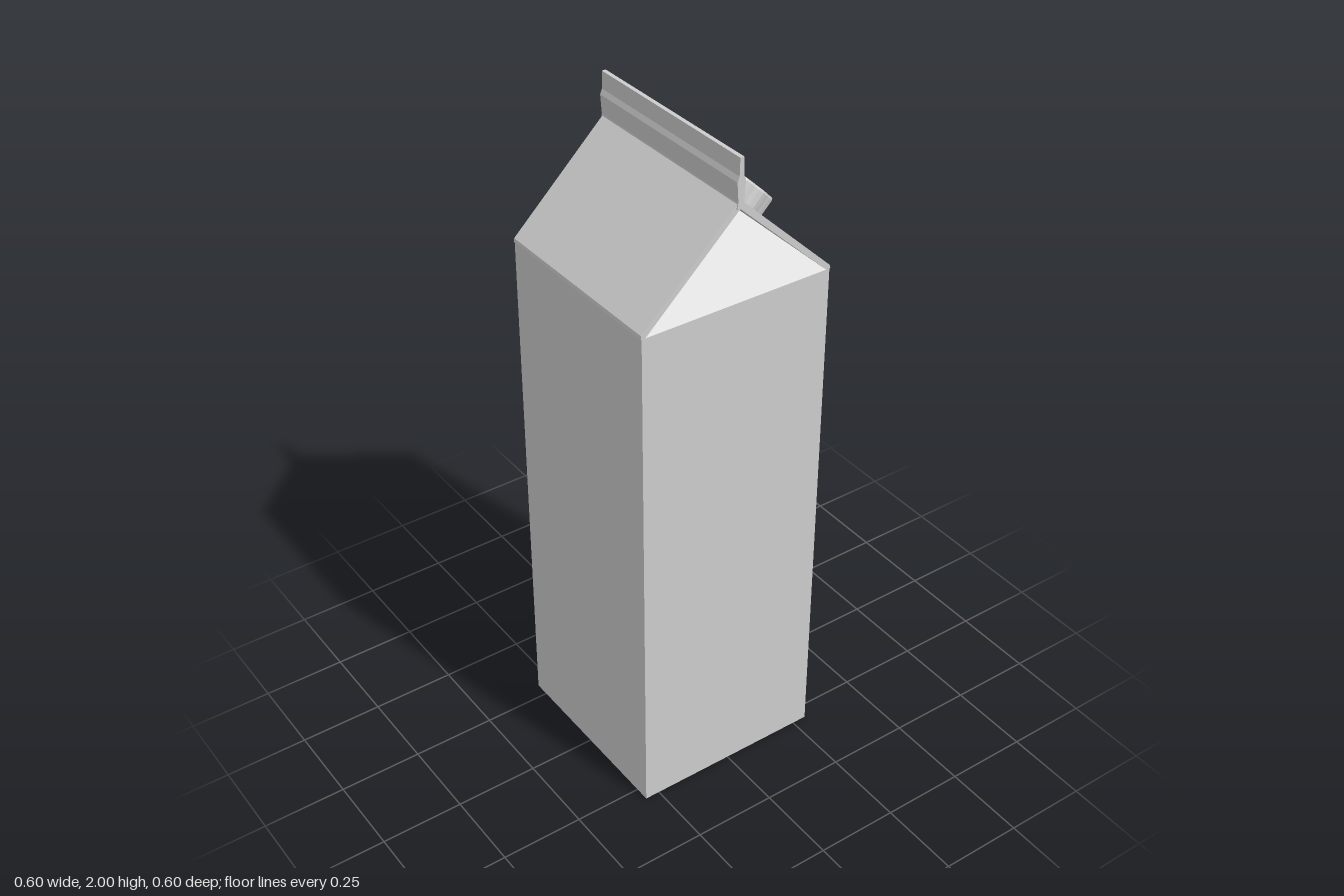
import * as THREE from 'three';

const HALF = 0.295;    // half width of the carton
const EAVE = 1.59;     // height where the roof starts

export function createModel() {
  const group = new THREE.Group();
  const board = new THREE.MeshStandardMaterial({ color: 0xcccccc });
  board.name = 'plain grey board';

  const add = (name, geometry, parent = group) => {
    const mesh = new THREE.Mesh(geometry, board);
    mesh.name = name;
    parent.add(mesh);
    return mesh;
  };

  // Extrudes an x-y outline over the full depth of the carton
  const extrudeZ = (points, half = HALF) => {
    const shape = new THREE.Shape(points.map(([x, y]) => new THREE.Vector2(x, y)));
    return new THREE.ExtrudeGeometry(shape, { depth: 2 * half, bevelEnabled: false }).translate(0, 0, -half);
  };

  // Tall square body
  add('body', new THREE.BoxGeometry(2 * HALF, EAVE, 2 * HALF).translate(0, EAVE / 2, 0));

  // Folded-in gables: a square pyramid whose front and back lie under the roof panels
  const gables = new THREE.ConeGeometry(HALF * Math.SQRT2, 0.27, 4, 1, true)
    .rotateY(Math.PI / 4).toNonIndexed();
  gables.computeVertexNormals();
  add('foldedGables', gables.translate(0, EAVE + 0.135, 0));

  // Two sloping roof panels, overhanging the folded gables
  const panel = [[0.284, EAVE], [0.298, EAVE], [0.296, 1.6], [0.006, 1.878], [0, 1.872], [0, 1.858]];
  add('leftRoofPanel', extrudeZ(panel));
  add('rightRoofPanel', extrudeZ(panel.map(([x, y]) => [-x, y]).reverse()));

  // Sealed crest along the ridge, thicker at the bottom
  const side = [[0.012, 1.86], [0.009, 1.88], [0.013, 1.935], [0.007, 1.95], [0.006, 2]];
  const crest = [...side, ...side.map(([x, y]) => [-x, y]).reverse()];
  add('crest', extrudeZ(crest, 0.298));

  // Screw cap on the left roof panel, with a gently scalloped rim
  const capGroup = new THREE.Group();
  capGroup.name = 'screwCap';
  capGroup.position.set(0.15, 1.71, 0);
  capGroup.rotation.z = -Math.PI / 4;
  capGroup.scale.set(0.93, 1, 1);
  group.add(capGroup);

  const outline = new THREE.Shape();
  const steps = 48;
  for (let i = 0; i < steps; i++) {
    const a = (i / steps) * Math.PI * 2;
    const r = 0.119 + 0.002 * Math.cos(a * 12);
    if (i) outline.lineTo(r * Math.cos(a), r * Math.sin(a));
    else outline.moveTo(r * Math.cos(a), r * Math.sin(a));
  }
  const cap = new THREE.ExtrudeGeometry(outline, {
    depth: 0.076, bevelThickness: 0.006, bevelSize: 0.006, bevelSegments: 2,
  }).rotateX(-Math.PI / 2);
  add('cap', cap, capGroup);

  return group;
}
